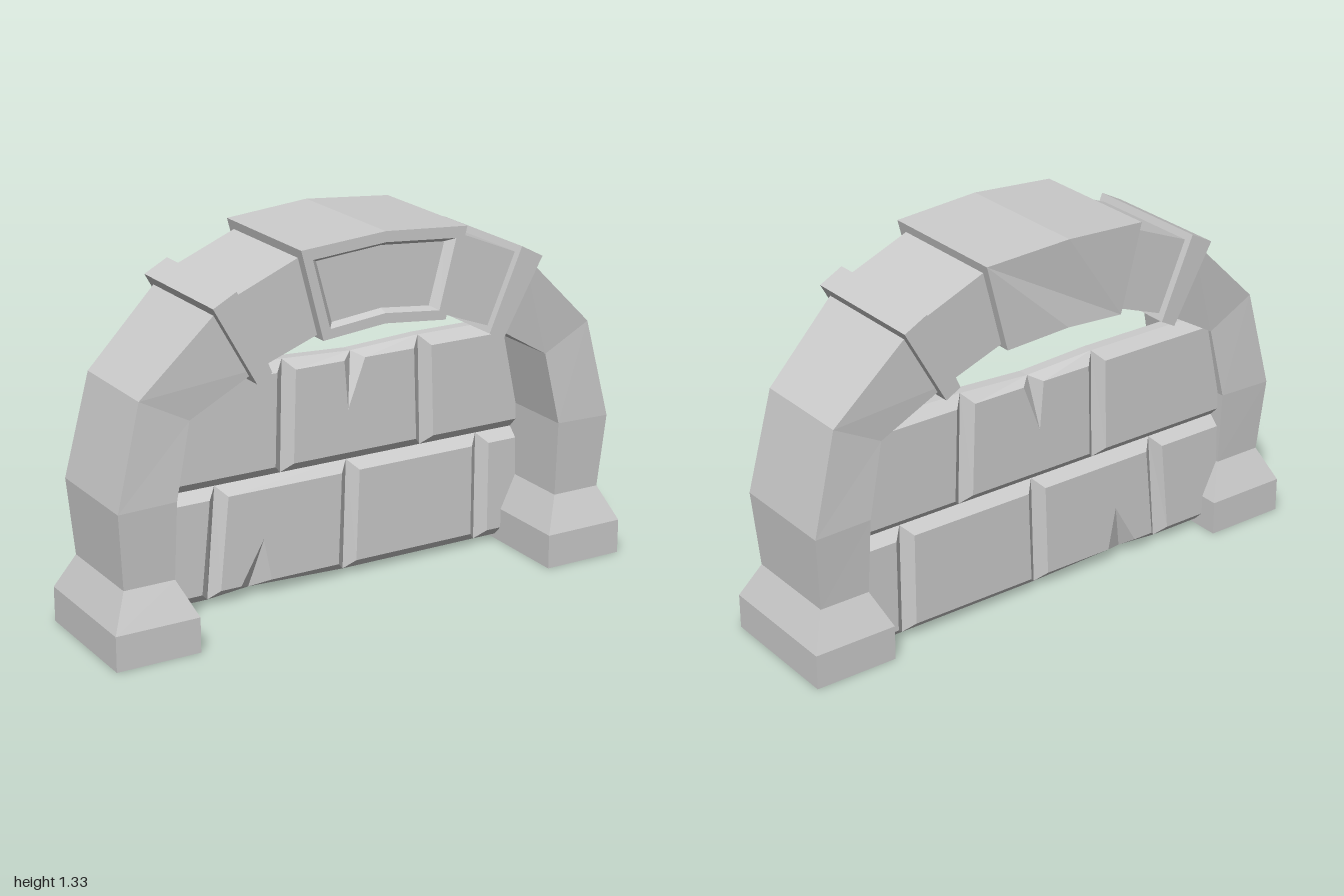
import * as THREE from 'three';

const material = new THREE.MeshStandardMaterial({ color: 0xcccccc, flatShading: true });

// Skin a list of equal-length loops (counter-clockwise about the travel direction), capped at both ends
function loft(name, loops) {
  const pos = [];
  const tri = (a, b, c) => pos.push(...a, ...b, ...c);
  for (let i = 0; i < loops.length - 1; i++) {
    const a = loops[i], b = loops[i + 1], n = a.length;
    for (let j = 0; j < n; j++) {
      const k = (j + 1) % n;
      tri(a[j], a[k], b[k]);
      tri(a[j], b[k], b[j]);
    }
  }
  const capFaces = (loop) => loop.length === 4
    ? [[0, 1, 2], [0, 2, 3]]
    : THREE.ShapeUtils.triangulateShape(loop.map((p) => new THREE.Vector2(p[0], p[1])), []);
  const first = loops[0], last = loops[loops.length - 1];
  for (const [a, b, c] of capFaces(first)) tri(first[c], first[b], first[a]);
  for (const [a, b, c] of capFaces(last)) tri(last[a], last[b], last[c]);
  const geometry = new THREE.BufferGeometry();
  geometry.setAttribute('position', new THREE.Float32BufferAttribute(pos, 3));
  geometry.computeVertexNormals();
  const mesh = new THREE.Mesh(geometry, material);
  mesh.name = name;
  return mesh;
}

const atZ = (points, z) => points.map(([x, y]) => [x, y, z]);

// Arch stations from the foot up: outer x, outer y, inner x, inner y, half depth
const STATIONS = [
  [1.0, 0, 0.695, 0, 0.24],
  [1.0, 0.125, 0.695, 0.125, 0.24],
  [0.94, 0.25, 0.755, 0.25, 0.182],
  [0.96, 0.52, 0.75, 0.525, 0.2],
  [0.87, 0.88, 0.693, 0.787, 0.188],
  [0.575, 1.165, 0.45, 0.93, 0.215],
  [0.29, 1.283, 0.22, 1.015, 0.215],
];

function archSide(side) {
  const loops = STATIONS.map(([ox, oy, ix, iy, h]) => {
    const f = h + 0.004, b = -h + 0.004;
    const loop = [[ox, oy, f], [ox, oy, b], [ix, iy, b], [ix, iy, f]];
    return side > 0 ? loop : loop.map(([x, y, z]) => [-x, y, z]).reverse();
  });
  return loft(side > 0 ? 'leftArch' : 'rightArch', loops);
}

// Raised band wrapped around the arch
function archBand(side) {
  let quad = [[0.42, 0.917], [0.476, 0.887], [0.63, 1.16], [0.545, 1.205]];
  if (side < 0) quad = quad.map(([x, y]) => [-x, y]).reverse();
  return loft(side > 0 ? 'leftBand' : 'rightBand', [atZ(quad, -0.238), atZ(quad, 0.247)]);
}

// Six-cornered wedge outline: bottom half width, bottom y, top half width, top y, middle rise
function wedge(bw, by, tw, ty, rise, z, zMid = z) {
  return [
    [-bw, by, z], [0, by + rise, zMid], [bw, by, z],
    [tw, ty, z], [0, ty + rise, zMid], [-tw, ty, z],
  ];
}

function keystone() {
  return loft('keystone', [
    wedge(0.235, 0.997, 0.316, 1.308, 0.023, -0.243, -0.26),
    wedge(0.235, 0.997, 0.316, 1.308, 0.023, 0.256),
    wedge(0.21, 1.033, 0.273, 1.272, 0.022, 0.256),
    wedge(0.187, 1.046, 0.245, 1.258, 0.02, 0.226),
  ]);
}

// Wall stone with chamfered faces; a crack is [start, tip, end, root] on its bottom or top edge
const WALL_Z = -0.115, FACE = 0.055, RIM = 0.02, CHAMFER = 0.036;

function stone([x0b, x1b, x1t, x0t], y0, y1, crack) {
  const c = CHAMFER;
  const rim = [[x0b, y0], [x1b, y0], [x1t, y1], [x0t, y1]];
  const face = [[x0b + c, y0 + c], [x1b - c, y0 + c], [x1t - c, y1 - c], [x0t + c, y1 - c]];
  if (crack) {
    const [start, tip, end, root] = crack.points;
    const at = crack.edge === 'top' ? 3 : 1;
    face.splice(at, 0, start, tip, end);
    rim.splice(at, 0, root, root, root);
  }
  return loft('wallStone', [
    atZ(face, WALL_Z - FACE), atZ(rim, WALL_Z - RIM),
    atZ(rim, WALL_Z + RIM), atZ(face, WALL_Z + FACE),
  ]);
}

// Joints are given as [x at the bottom, x at the top]; the outer ends sit inside the arch
function course(name, y0, y1, joints, cracks) {
  const group = new THREE.Group();
  group.name = name;
  const ends = [[-0.84, -0.84], ...joints, [0.84, 0.84]];
  for (let i = 0; i < ends.length - 1; i++) {
    const [lb, lt] = ends[i], [rb, rt] = ends[i + 1];
    group.add(stone([lb, rb, rt, lt], y0, y1, cracks[i]));
  }
  return group;
}

export function createModel() {
  const model = new THREE.Group();
  model.name = 'stoneArch';
  for (const side of [1, -1]) model.add(archSide(side), archBand(side));
  model.add(keystone());

  model.add(course('lowerCourse', 0.018, 0.428, [[-0.495, -0.46], [0.045, 0.058], [0.6, 0.6]], {
    1: { edge: 'bottom', points: [[-0.38, 0.054], [-0.29, 0.21], [-0.26, 0.054], [-0.335, 0.032]] },
  }));
  model.add(course('upperCourse', 0.428, 0.836, [[-0.205, -0.195], [0.362, 0.35]], {
    1: { edge: 'top', points: [[0.115, 0.8], [0.047, 0.622], [0.032, 0.8], [0.075, 0.822]] },
  }));
  return model;
}
